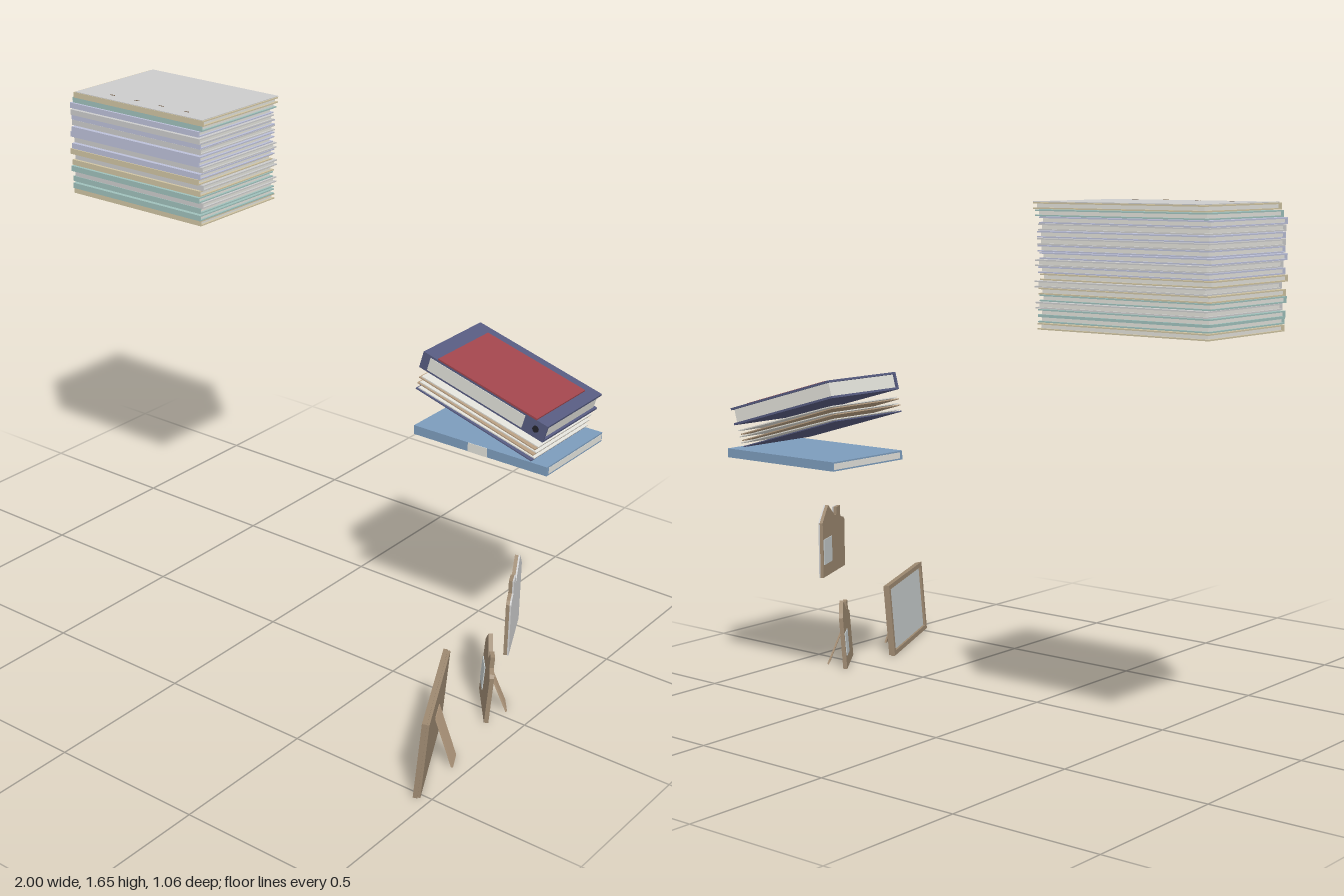
import * as THREE from 'three';

const mat = (color) => new THREE.MeshStandardMaterial({ color, flatShading: true, side: THREE.DoubleSide });
const BROWN = mat(0x9c8870), DARK = mat(0x7d6a56), TAN = mat(0xb59c80), PAPER = mat(0xe0dfd8);
const PALE = mat(0xd8d8d4), GLASS = mat(0xc4caca), NAVY = mat(0x565b80), RED = mat(0xa0454c);
const BLUE = mat(0x7c9cbc), BLACK = mat(0x22222a);

function mesh(parent, name, geometry, material, x = 0, y = 0, z = 0) {
  const m = new THREE.Mesh(geometry, material);
  m.name = name;
  m.position.set(x, y, z);
  parent.add(m);
  return m;
}
const box = (parent, name, material, w, h, d, x, y, z) =>
  mesh(parent, name, new THREE.BoxGeometry(w, h, d), material, x, y, z);

function group(parent, name, x, y, z) {
  const g = new THREE.Group();
  g.name = name;
  g.position.set(x, y, z);
  parent.add(g);
  return g;
}

// Two covers, a spine facing the front and an inset page block
function book(parent, name, cover, w, h, d, t, x, y, z) {
  const g = group(parent, name, x, y, z);
  for (const s of [-1, 1]) box(g, 'cover', cover, w, t, d, 0, s * (h - t) / 2, 0);
  box(g, 'spine', cover, w, h - 2 * t, t, 0, 0, (d - t) / 2);
  box(g, 'pages', PAPER, w - 0.016, h - 2 * t, d - t - 0.008, 0, 0, 0.004 - t / 2);
  return g;
}

// Tall pile of thin booklets, each slightly out of line
function magazineStack(root) {
  const g = group(root, 'magazineStack', -0.705, 1.29, -0.328);
  const teal = mat(0x9fc0bb), sand = mat(0xcfc3a2), lavender = mat(0xbcc0d8), grey = mat(0xc8c8c4);
  const covers = [sand, teal, teal, grey, teal, sand, grey, sand, lavender, grey, lavender, lavender,
    grey, lavender, grey, lavender, teal, sand];
  const n = covers.length, h = 0.36 / n;
  covers.forEach((c, i) => {
    const top = i === n - 1;
    const dx = top ? 0.016 : 0.006 * Math.sin(i * 2.4);
    const dz = top ? 0 : 0.008 * Math.sin(i * 1.9);
    book(g, 'magazine', c, 0.58, h * 0.94, 0.385, 0.004, dx, h * (i + 0.5), dz);
  });
  // Pale top sheet with staples along its front edge
  box(g, 'topSheet', PALE, 0.568, 0.002, 0.39, 0.018, 0.361, -0.003);
  for (let i = 0; i < 4; i++)
    box(g, 'staple', DARK, 0.02, 0.002, 0.004, -0.135 + i * 0.11, 0.3622, 0.147);
}

// Flat book with a tilted sheaf and a thick volume on top
function bookPile(root) {
  const g = group(root, 'bookPile', 0, 0, 0);
  box(g, 'flatBook', BLUE, 0.486, 0.03, 0.325, 0.695, 0.802, -0.308);
  box(g, 'flatBookPages', PAPER, 0.488, 0.02, 0.31, 0.695, 0.802, -0.312);
  box(g, 'flatBookLabel', PAPER, 0.07, 0.03, 0.002, 0.69, 0.802, -0.145);

  const tilt = -0.27;
  const sheaf = group(g, 'looseSheets', 0.682, 0.91, -0.295);
  sheaf.rotation.z = tilt;
  for (let i = 0; i < 6; i++) {
    const m = i === 0 ? NAVY : i % 2 ? PAPER : TAN;
    const s = box(sheaf, 'sheet', m, 0.445, 0.0035, 0.31, i % 2 ? 0.004 : -0.004, -0.026 + i * 0.0104, 0);
    s.rotation.z = i % 2 ? 0.008 : -0.008;
  }

  const v = book(g, 'thickVolume', NAVY, 0.47, 0.058, 0.315, 0.007, 0.7, 0.985, -0.3);
  v.rotation.z = tilt;
  box(v, 'coverPanel', RED, 0.374, 0.006, 0.277, 0.007, 0.031, 0.019);
  box(v, 'spineLabel', PAPER, 0.36, 0.044, 0.003, -0.025, 0, 0.158);
  const hole = mesh(v, 'fingerHole', new THREE.CylinderGeometry(0.011, 0.011, 0.003, 16), BLACK, 0.2, 0, 0.158);
  hole.rotation.x = Math.PI / 2;
}

// Strut leaning against the back of a frame
function stand(parent, width, height, zTop, zFoot) {
  const spread = zTop - zFoot;
  const s = box(parent, 'stand', TAN, width, Math.hypot(height, spread), 0.006, 0, height / 2, (zTop + zFoot) / 2);
  s.rotation.x = Math.atan2(spread, height);
}

function upright(root, name, x, y, z, dx, dz, lean) {
  const g = group(root, name, x, y, z);
  g.rotation.y = Math.atan2(-dz, dx);
  const body = group(g, name + 'Body', 0, 0, 0);
  body.rotation.x = -lean;
  return { g, body };
}

// Large rectangular picture frame
function pictureFrame(root) {
  const { g, body } = upright(root, 'pictureFrame', 0.868, 0.008, 0.335, 0.44, 0.9, 0.075);
  const w = 0.425, h = 0.256, b = 0.016;
  const rim = new THREE.Shape().moveTo(-w / 2, 0).lineTo(w / 2, 0).lineTo(w / 2, h).lineTo(-w / 2, h);
  rim.holes.push(new THREE.Path().moveTo(-w / 2 + b, b).lineTo(-w / 2 + b, h - b)
    .lineTo(w / 2 - b, h - b).lineTo(w / 2 - b, b));
  mesh(body, 'rim', new THREE.ExtrudeGeometry(rim, { depth: 0.014, bevelEnabled: false }), BROWN, 0, 0, -0.004);
  box(body, 'backBoard', BROWN, w - 0.004, h - 0.004, 0.008, 0, h / 2, -0.008);
  box(body, 'picture', GLASS, w - 2 * b, h - 2 * b, 0.003, 0, h / 2, 0);
  stand(g, 0.07, 0.17, -0.024, -0.08);
}

// House outline with a chimney, as fractions of width and height
const HOUSE = [[0, 0], [1, 0], [1, 0.68], [0.95, 0.72], [0.81, 0.75], [0.81, 0.91], [0.63, 0.91], [0.63, 0.81],
  [0.57, 0.8], [0.26, 1], [0.06, 0.84], [0, 0.78]];

function housePlaque(body, w, h, t, material) {
  const shape = new THREE.Shape(HOUSE.map(([u, v]) => new THREE.Vector2((u - 0.5) * w, v * h)));
  return (depth, z, m, name) =>
    mesh(body, name, new THREE.ExtrudeGeometry(shape, { depth, bevelEnabled: false }), m, 0, 0, z);
}

function houseFrames(root) {
  // Raised house, pale at the back
  const a = upright(root, 'upperHouse', 0.946, 0.315, 0.022, 0.42, 0.907, 0);
  const upper = housePlaque(a.body, 0.228, 0.25);
  upper(0.011, -0.004, BROWN, 'houseFront');
  upper(0.005, -0.009, PALE, 'houseBack');
  box(a.body, 'window', GLASS, 0.08, 0.09, 0.004, -0.068, 0.09, 0.008);

  // Standing house with a strut
  const b = upright(root, 'lowerHouse', 0.841, 0.008, -0.013, 0.61, 0.79, 0.07);
  upper.name;
  const lower = housePlaque(b.body, 0.198, 0.233);
  lower(0.014, -0.007, BROWN, 'house');
  box(b.body, 'window', GLASS, 0.07, 0.08, 0.004, -0.055, 0.085, 0.008);
  stand(b.g, 0.07, 0.127, -0.017, -0.068);
}

export function createModel() {
  const root = new THREE.Group();
  root.name = 'booksAndFrames';
  magazineStack(root);
  bookPile(root);
  pictureFrame(root);
  houseFrames(root);
  return root;
}
